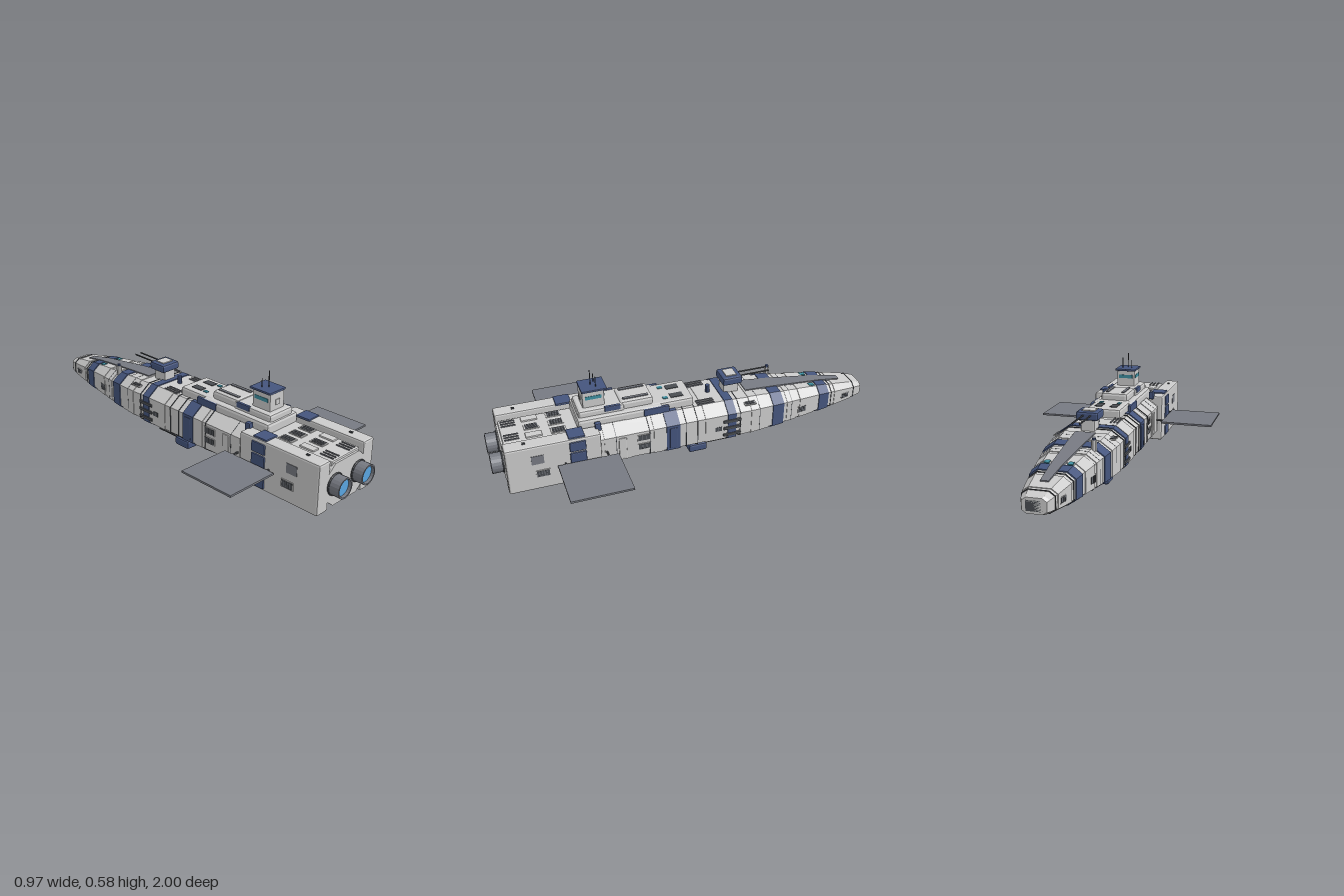
import * as THREE from 'three';
import { RoundedBoxGeometry } from 'three/addons/geometries/RoundedBoxGeometry.js';

const mat = (color, extra = {}) => new THREE.MeshStandardMaterial({ color, flatShading: true, ...extra });
const GREY = mat(0xcccccc), BLUE = mat(0x45557d), DARK = mat(0x4a4d52), STEEL = mat(0x777a82);
const GLOW = mat(0x5aa5e0), GLASS = mat(0x3f8fa0);

// Hull stations: z, half width, bottom, top
const HULL = [
  [-1.0, 0.055, 0.165, 0.235], [-0.985, 0.063, 0.16, 0.242], [-0.9, 0.083, 0.15, 0.258],
  [-0.75, 0.107, 0.133, 0.283], [-0.47, 0.15, 0.115, 0.312], [-0.3, 0.168, 0.107, 0.325],
  [-0.2, 0.17, 0.105, 0.33], [0.48, 0.17, 0.105, 0.33], [0.5, 0.14, 0.102, 0.315], [0.94, 0.135, 0.102, 0.312],
];

// Interpolated hull station at z, grown outward by g
function hullAt(z, g = 0) {
  let i = 0;
  while (i < HULL.length - 2 && HULL[i + 1][0] < z) i++;
  const a = HULL[i], b = HULL[i + 1], t = (z - a[0]) / (b[0] - a[0]);
  const [w, y0, y1] = [1, 2, 3].map((k) => a[k] + (b[k] - a[k]) * t);
  return [z, w + g, y0 - g, y1 + g];
}

// Octagonal ring of a station, counter-clockwise seen from +z
function ring([z, w, y0, y1]) {
  const h = y1 - y0, t = 0.63 * w, up = y1 - 0.2 * h, lo = y0 + 0.19 * h;
  return [[w, lo], [w, up], [t, y1], [-t, y1], [-w, up], [-w, lo], [-t, y0], [t, y0]].map(([x, y]) => [x, y, z]);
}

// Closed loft through rings with the same number of points
function loft(rings) {
  const pos = [], n = rings[0].length, last = rings[rings.length - 1];
  const tri = (a, b, c) => pos.push(...a, ...b, ...c);
  for (let s = 0; s < rings.length - 1; s++) {
    for (let i = 0; i < n; i++) {
      const j = (i + 1) % n, A = rings[s], B = rings[s + 1];
      tri(A[i], A[j], B[j]);
      tri(A[i], B[j], B[i]);
    }
  }
  for (let i = 1; i < n - 1; i++) {
    tri(rings[0][0], rings[0][i + 1], rings[0][i]);
    tri(last[0], last[i], last[i + 1]);
  }
  const g = new THREE.BufferGeometry();
  g.setAttribute('position', new THREE.Float32BufferAttribute(pos, 3));
  g.computeVertexNormals();
  return g;
}

export function createModel() {
  const ship = new THREE.Group();
  ship.name = 'spaceship';

  const add = (name, geo, material, x = 0, y = 0, z = 0, parent = ship) => {
    const m = new THREE.Mesh(geo, material);
    m.name = name;
    m.position.set(x, y, z);
    parent.add(m);
    return m;
  };
  // Box given by its extents; r chamfers the edges
  const box = (name, material, [x0, x1], [y0, y1], [z0, z1], r = 0) => {
    const d = [x1 - x0, y1 - y0, z1 - z0];
    const geo = r ? new RoundedBoxGeometry(...d, 1, r) : new THREE.BoxGeometry(...d);
    return add(name, geo, material, (x0 + x1) / 2, (y0 + y1) / 2, (z0 + z1) / 2);
  };
  const pair = (name, material, [x0, x1], y, z, r) => {
    box(name, material, [x0, x1], y, z, r);
    box(name, material, [-x1, -x0], y, z, r);
  };
  const rod = (name, material, r, len, x, y, z, axis = 'y', sides = 8) => {
    const m = add(name, new THREE.CylinderGeometry(r, r, len, sides), material, x, y, z);
    if (axis === 'x') m.rotation.z = Math.PI / 2;
    if (axis === 'z') m.rotation.x = Math.PI / 2;
    return m;
  };
  // Framed grille lying flat in its local xy plane, facing +z
  const grille = (w, h, bars) => {
    const g = new THREE.Group();
    g.name = 'grille';
    add('grilleFrame', new THREE.BoxGeometry(w, h, 0.006), GREY, 0, 0, 0, g);
    add('grilleRecess', new THREE.BoxGeometry(w * 0.88, h * 0.82, 0.008), DARK, 0, 0, 0, g);
    for (let i = 1; i < bars; i++) {
      add('grilleBar', new THREE.BoxGeometry(0.003, h * 0.82, 0.011), STEEL, (i / bars - 0.5) * w * 0.88, 0, 0, g);
    }
    ship.add(g);
    return g;
  };
  // Grilles on both hull sides, turned to follow the taper
  const sideGrilles = (z, y, w, h, bars) => [1, -1].forEach((s) => {
    const g = grille(w, h, bars), slope = (hullAt(z + 0.01)[1] - hullAt(z - 0.01)[1]) / 0.02;
    g.position.set(s * hullAt(z)[1], y, z);
    g.rotation.y = s * (Math.PI / 2 + Math.atan(slope));
  });
  const flatGrille = (x, y, z, w, d, bars, down = false) => {
    const g = grille(w, d, bars);
    g.position.set(x, y, z);
    g.rotation.x = down ? Math.PI / 2 : -Math.PI / 2;
  };

  // Hull with painted bands, panel ribs and seams
  add('hull', loft(HULL.map(ring)), GREY);
  const band = (name, material, z0, z1, g) => add(name, loft([z0, z1].map((z) => ring(hullAt(z, g)))), material);
  [[-0.78, -0.72], [-0.5, -0.435], [-0.225, -0.18], [0.075, 0.145]].forEach(([a, b]) => band('blueBand', BLUE, a, b, 0.005));
  [[-0.93, -0.82], [-0.69, -0.6], [-0.58, -0.52], [-0.41, -0.31], [-0.17, -0.06], [0.16, 0.21], [0.33, 0.46]]
    .forEach(([a, b]) => band('hullPlate', GREY, a, b, 0.003));
  [-0.95, -0.8, -0.55, -0.36, -0.25, -0.02, 0.04, 0.23, 0.4].forEach((z) => band('seam', DARK, z, z + 0.003, 0.0035));

  // Nose port
  box('nosePort', DARK, [-0.038, 0.038], [0.176, 0.224], [-1, -0.98]);
  box('nosePortCover', STEEL, [-0.027, 0.027], [0.187, 0.213], [-1, -0.979]);

  // Tapered dark spine along the foredeck
  const spine = [[-0.88, 0.022], [-0.75, 0.031], [-0.47, 0.05], [-0.32, 0.058]].map(([z, w]) => {
    const y = hullAt(z)[3];
    return [[w, y - 0.02, z], [w * 0.85, y + 0.008, z], [-w * 0.85, y + 0.008, z], [-w, y - 0.02, z]];
  });
  add('spine', loft(spine), STEEL);

  // Side grilles, bumps and foredeck fittings
  [[-0.89, 0.2, 0.05, 0.03, 4], [-0.615, 0.2, 0.05, 0.04, 4], [0.26, 0.252, 0.07, 0.036, 3],
    [0.26, 0.2, 0.07, 0.036, 3], [-0.13, 0.21, 0.04, 0.03, 2]].forEach((a) => sideGrilles(...a));
  for (const y of [0.16, 0.2, 0.24]) pair('sideLatch', DARK, [0.165, 0.18], [y, y + 0.016], [-0.25, -0.155], 0.003);
  for (const z of [0.09, 0.35]) pair('sideFairing', z < 0.2 ? BLUE : GREY, [0.16, 0.178], [0.155, 0.275], [z, z + 0.04], 0.004);
  for (const s of [1, -1]) {
    flatGrille(s * 0.13, 0.308, -0.31, 0.045, 0.06, 4);
    for (let i = 0; i < 3; i++) box('deckRib', STEEL, [s * (0.07 + i * 0.017) - 0.003, s * (0.07 + i * 0.017) + 0.003], [0.325, 0.338], [-0.13, -0.04]);
    const w = box('foreWindow', GLASS, [s * 0.055 - 0.012, s * 0.055 + 0.012], [0.285, 0.294], [-0.71, -0.68]);
    w.rotation.x = -0.1;
  }
  rod('sensorPost', GREY, 0.014, 0.05, -0.1, 0.325, -0.505);
  rod('sensorCap', BLUE, 0.009, 0.015, -0.1, 0.352, -0.505);
  rod('mast', BLUE, 0.012, 0.045, 0, 0.35, -0.13);

  // Stepped superstructure
  box('lowerDeck', GREY, [-0.09, 0.09], [0.31, 0.375], [-0.025, 0.2], 0.012);
  box('lowerDeckRear', GREY, [-0.107, 0.107], [0.31, 0.372], [0.14, 0.57], 0.014);
  pair('deckBluePlate', BLUE, [0.095, 0.111], [0.33, 0.368], [0.11, 0.24], 0.004);
  box('middleDeck', GREY, [-0.072, 0.072], [0.36, 0.412], [0.18, 0.35], 0.014);
  box('middleDeckRear', GREY, [-0.08, 0.08], [0.36, 0.405], [0.33, 0.56], 0.012);
  pair('middleBluePlate', BLUE, [0.068, 0.084], [0.382, 0.41], [0.35, 0.43], 0.004);
  pair('deckHatch', DARK, [0.022, 0.058], [0.37, 0.378], [0.02, 0.085]);
  pair('deckLight', GLASS, [0.04, 0.058], [0.37, 0.379], [0.1, 0.125]);
  pair('roofRail', STEEL, [0.035, 0.05], [0.405, 0.417], [0.2, 0.33]);

  // Bridge tower
  box('bridgeTower', GREY, [-0.05, 0.05], [0.39, 0.492], [0.42, 0.53], 0.006);
  box('bridgeSideWindows', GLASS, [-0.052, 0.052], [0.448, 0.466], [0.435, 0.515]);
  box('bridgeFrontWindows', GLASS, [-0.038, 0.038], [0.448, 0.466], [0.417, 0.45]);
  box('bridgeHatch', GREY, [-0.014, 0.014], [0.43, 0.457], [0.52, 0.534]);
  box('bridgeRoof', BLUE, [-0.056, 0.056], [0.489, 0.5], [0.405, 0.532], 0.003);
  [[0, 0.08, 0.475], [0.025, 0.055, 0.455], [-0.025, 0.043, 0.455]]
    .forEach(([x, h, z]) => rod('antenna', DARK, 0.0022, h, x, 0.5 + h / 2, z));

  // Gun turrets above and below
  box('topTurretBase', GREY, [-0.035, 0.035], [0.32, 0.385], [-0.285, -0.205], 0.006);
  box('topTurret', BLUE, [-0.056, 0.056], [0.38, 0.422], [-0.3, -0.195], 0.01);
  box('topTurretHatch', GREY, [-0.032, 0.032], [0.415, 0.427], [-0.275, -0.22]);
  for (const x of [-0.018, 0.018]) rod('topBarrel', DARK, 0.004, 0.18, x, 0.405, -0.37, 'z');
  box('bellyTurretBase', GREY, [-0.057, 0.057], [0.055, 0.115], [-0.105, -0.02], 0.008);
  box('bellyTurretNeck', DARK, [-0.035, 0.035], [0.04, 0.06], [-0.1, -0.025]);
  box('bellyTurret', BLUE, [-0.054, 0.054], [0.002, 0.047], [-0.115, -0.015], 0.01);
  for (const x of [-0.018, 0.018]) rod('bellyBarrel', DARK, 0.004, 0.17, x, 0.025, -0.19, 'z');

  // Rear deck between the pods
  box('rearDeck', GREY, [-0.1, 0.1], [0.29, 0.322], [0.55, 0.93], 0.006);
  for (const x of [-0.07, 0, 0.07]) flatGrille(x, 0.323, 0.66, 0.045, 0.075, 3);
  flatGrille(0, 0.323, 0.78, 0.045, 0.075, 4);
  for (const x of [0.035, 0.055, 0.075]) pair('rearDeckRib', STEEL, [x, x + 0.006], [0.318, 0.327], [0.85, 0.92]);
  pair('rearDeckBlock', GREY, [0.05, 0.09], [0.315, 0.33], [0.74, 0.82], 0.004);

  // Belly panels, keel and sensor ball
  for (const z of [-0.3, 0.2, 0.42, 0.6, 0.8]) for (const s of [1, -1]) flatGrille(s * 0.05, 0.102, z, 0.07, 0.11, 3, true);
  box('keel', GREY, [-0.012, 0.012], [0.094, 0.11], [0.1, 0.9], 0.003);
  add('sensorBall', new THREE.SphereGeometry(0.016, 8, 6), BLUE, 0, 0.09, 0.36);

  // Side pods with blue armour
  pair('sidePod', GREY, [0.12, 0.196], [0.09, 0.341], [0.48, 0.94], 0.009);
  pair('podTopPlate', BLUE, [0.112, 0.19], [0.335, 0.348], [0.555, 0.635], 0.004);
  for (const [a, b] of [[0.1, 0.155], [0.163, 0.265], [0.273, 0.325]]) pair('podSidePlate', BLUE, [0.185, 0.204], [a, b], [0.555, 0.635], 0.005);
  pair('podLamp', BLUE, [0.122, 0.148], [0.325, 0.366], [0.465, 0.495], 0.005);
  pair('podPanel', STEEL, [0.19, 0.198], [0.24, 0.288], [0.76, 0.82]);
  pair('podFoot', DARK, [0.148, 0.156], [0.083, 0.095], [0.83, 0.85]);
  pair('podStud', DARK, [0.15, 0.16], [0.335, 0.347], [0.835, 0.85]);
  for (const s of [1, -1]) {
    const g = grille(0.07, 0.04, 5);
    g.position.set(s * 0.197, 0.182, 0.77);
    g.rotation.y = s * Math.PI / 2;
  }

  // Wing panels on struts
  pair('wingPanel', STEEL, [0.21, 0.487], [0.207, 0.217], [0.4, 0.7]);
  for (const s of [1, -1]) for (const z of [0.45, 0.66]) rod('wingStrut', DARK, 0.005, 0.07, s * 0.185, 0.212, z, 'x');

  // Engines
  const bell = [[0.036, 0], [0.05, 0], [0.05, 0.09], [0.043, 0.09], [0.041, 0.07]].map(([r, y]) => new THREE.Vector2(r, y));
  const bellGeo = new THREE.LatheGeometry(bell, 20).rotateX(Math.PI / 2);
  const bellMat = mat(0x777a82, { side: THREE.DoubleSide });
  for (const s of [1, -1]) {
    add('engineBell', bellGeo, bellMat, s * 0.085, 0.213, 0.91);
    add('engineGlow', new THREE.CircleGeometry(0.042, 20), GLOW, s * 0.085, 0.213, 0.985);
    add('engineCollar', new THREE.TorusGeometry(0.05, 0.005, 6, 20), DARK, s * 0.085, 0.213, 0.945);
  }
  return ship;
}
